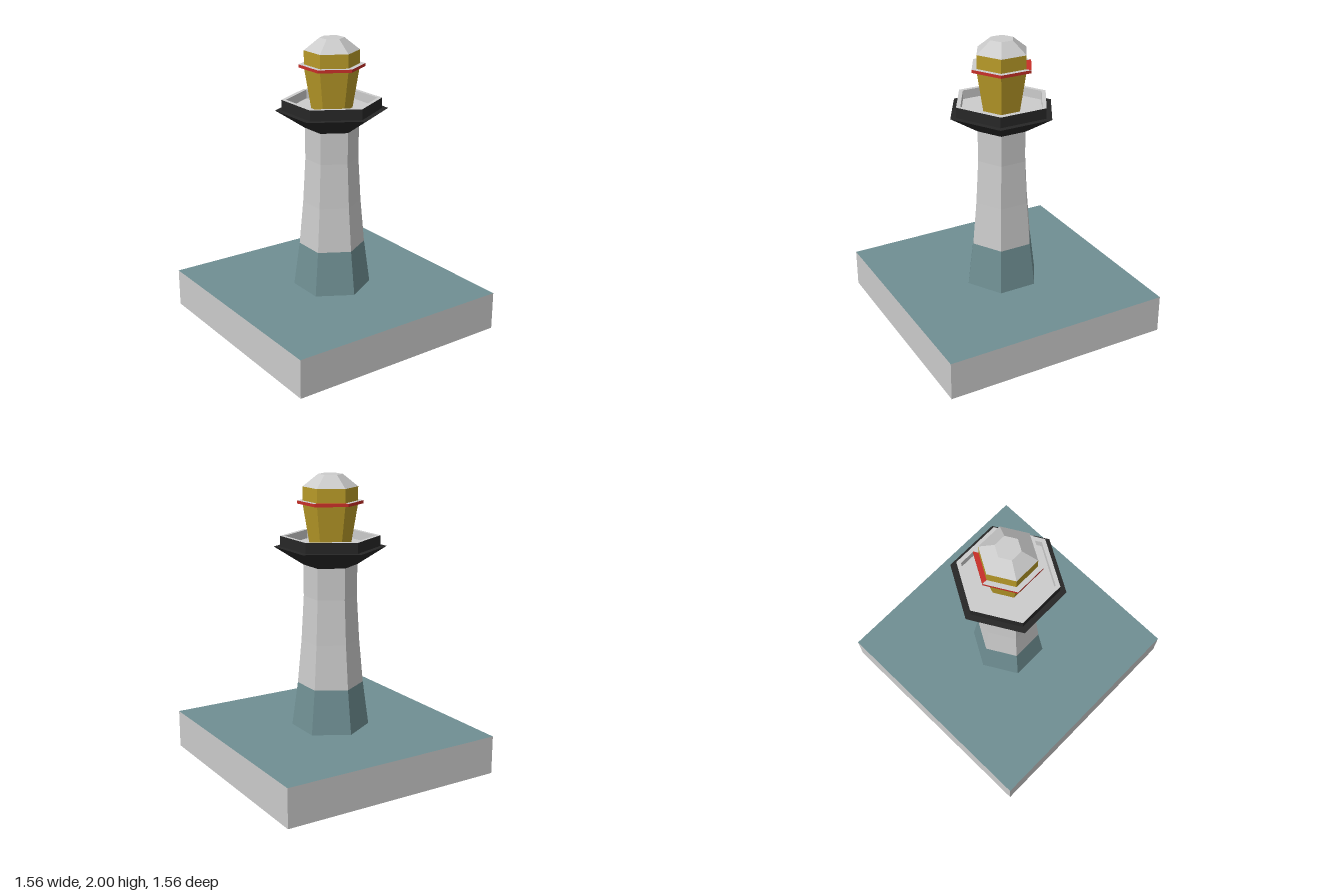
import * as THREE from 'three';

const material = (color) => new THREE.MeshStandardMaterial({ color, flatShading: true });
const grey = material(0xcccccc);
const teal = material(0x6f8f93);
const black = material(0x272727);
const gold = material(0xb89a28);
const red = material(0xc82f28);

export function createModel() {
  const model = new THREE.Group();

  const add = (name, geometry, mat) => {
    const mesh = new THREE.Mesh(geometry, mat);
    mesh.name = name;
    model.add(mesh);
    return mesh;
  };

  // Six-sided shell from a [radius, height] profile; corners point along z.
  // Profiles run so that the outside is on the right-hand side going up.
  const hex = (name, profile, mat, sides = 6, start = 0) =>
    add(name, new THREE.LatheGeometry(
      profile.map(([r, y]) => new THREE.Vector2(r, y)),
      sides, start * Math.PI / 3, sides * Math.PI / 3), mat);

  // Square ground slab: only its top face (+y) is coloured
  const slab = add('groundSlab', new THREE.BoxGeometry(1.56, 0.26, 1.56),
    [grey, grey, teal, grey, grey, grey]);
  slab.position.y = 0.17;

  // Tapering tower, with its foot showing below the slab
  hex('towerUnderside', [[0, 0], [0.3, 0]], grey);
  hex('towerBase', [[0.3, 0], [0.26, 0.3], [0.22, 0.6]], teal);
  hex('towerShaft', [[0.22, 0.6], [0.193, 0.9], [0.176, 1.2], [0.178, 1.41]], grey);

  // Flared gallery with a parapet and a sunken floor
  hex('galleryShell', [[0.178, 1.41], [0.37, 1.53], [0.328, 1.53], [0.328, 1.6]], black);
  hex('galleryFloor', [[0.328, 1.6], [0.298, 1.6], [0.298, 1.54], [0, 1.54]], grey);

  // Lantern, widening upward to the band
  hex('lantern', [[0.135, 1.54], [0.18, 1.81], [0.18, 1.92]], gold);

  // Thin band: red rim, plain faces except one red sector on top
  hex('bandRim', [[0.215, 1.81], [0.215, 1.83]], red);
  hex('bandUnderside', [[0.178, 1.81], [0.215, 1.81]], grey);
  const bandTop = [[0.215, 1.83], [0.178, 1.83]];
  hex('bandTop', bandTop, grey, 5, 3);
  hex('bandTopSector', bandTop, red, 1, 2);

  // Roof with a flat top
  hex('roof', [[0.18, 1.92], [0.08, 2], [0, 2]], grey);

  return model;
}
